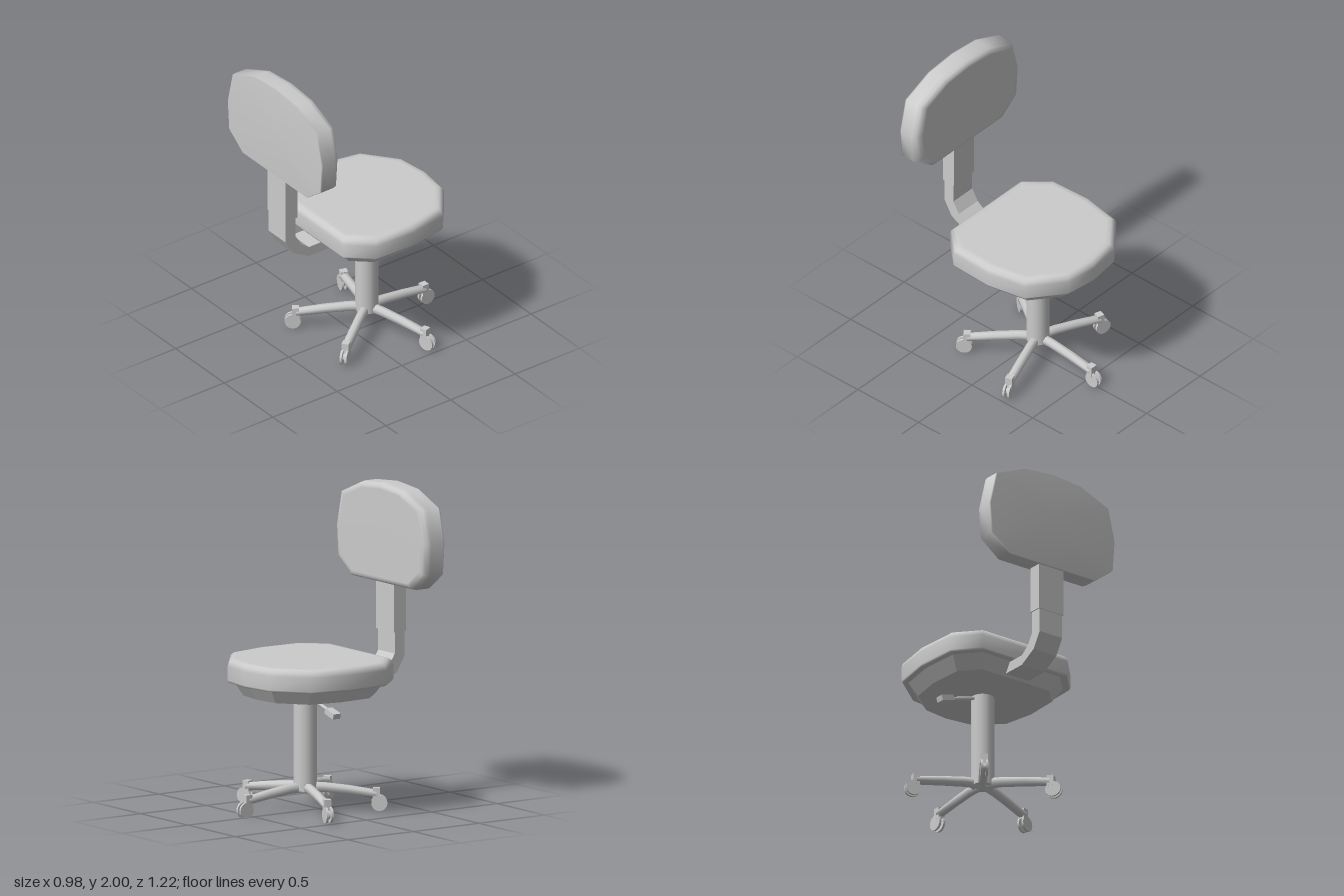
import * as THREE from 'three';

const smooth = new THREE.MeshStandardMaterial({ color: 0xcccccc });
const faceted = new THREE.MeshStandardMaterial({ color: 0xcccccc, flatShading: true });

function add(parent, name, geometry, material = smooth, x = 0, y = 0, z = 0) {
  const mesh = new THREE.Mesh(geometry, material);
  mesh.name = name;
  mesh.position.set(x, y, z);
  parent.add(mesh);
  return mesh;
}

// Skin a stack of equal rings (counter-clockwise about the direction of travel) and cap both ends
function loft(rings) {
  const n = rings[0].length;
  const pos = rings.flat(2);
  const index = [];
  for (let i = 0; i < rings.length - 1; i++) {
    for (let j = 0; j < n; j++) {
      const a = i * n + j, b = i * n + (j + 1) % n;
      index.push(a, b, b + n, a, b + n, a + n);
    }
  }
  const centre = (ring) => [0, 1, 2].map((k) => ring.reduce((s, p) => s + p[k], 0) / n);
  const last = (rings.length - 1) * n, c0 = rings.length * n;
  pos.push(...centre(rings[0]), ...centre(rings[rings.length - 1]));
  for (let j = 0; j < n; j++) {
    const k = (j + 1) % n;
    index.push(c0, k, j, c0 + 1, last + j, last + k);
  }
  const g = new THREE.BufferGeometry();
  g.setAttribute('position', new THREE.Float32BufferAttribute(pos, 3));
  g.setIndex(index);
  g.computeVertexNormals();
  return g;
}

// Closed outline from its +x half, listed bottom to top; the last point lies on the axis
function mirrorOutline(half) {
  return [...half, ...half.slice(0, -1).reverse().map(([x, y]) => [-x, y])];
}

// Outline scaled about (0, cy), stacked along z; levels are [scale, z]
function stack(outline, cy, levels) {
  return loft(levels.map(([s, z]) => outline.map(([x, y]) => [x * s, cy + (y - cy) * s, z])));
}

const cushionLevels = [[0.985, 0], [1, 0.012], [1, 0.1], [0.985, 0.127], [0.94, 0.143], [0.88, 0.145]];

export function createModel() {
  const chair = new THREE.Group();
  chair.name = 'swivelChair';
  const axisZ = -0.105;

  // Seat cushion and the tapered pan below it
  const seatOutline = mirrorOutline([
    [0.33, -0.33], [0.468, -0.178], [0.48, 0.11], [0.43, 0.37], [0.215, 0.542], [0, 0.57],
  ]);
  const seat = add(chair, 'seatCushion', stack(seatOutline, 0.12, cushionLevels), smooth, 0, 0.82, 0);
  seat.rotation.x = -Math.PI / 2;
  const pan = add(chair, 'seatPan', stack(seatOutline, 0.12, [[0.79, 0], [0.92, 0.09]]), faceted, 0, 0.735, 0);
  pan.rotation.x = -Math.PI / 2;

  // Backrest cushion, its padded side towards the seat
  const backOutline = mirrorOutline([
    [0.33, 1.37], [0.47, 1.475], [0.485, 1.675], [0.435, 1.89], [0.22, 1.98], [0, 2.0],
  ]);
  const back = add(chair, 'backrest', stack(backOutline, 1.68, [[0.992, 0], [1, 0.012], ...cushionLevels.slice(2)]), smooth, 0, 0, 0.61);
  back.rotation.y = Math.PI;

  // Bent bar from under the seat up to the backrest; profile in (z, y)
  const profile = [
    [0.2, 0.75], [0.41, 0.75], [0.53, 0.815], [0.59, 0.915], [0.59, 1.1],
    [0.515, 1.1], [0.515, 0.935], [0.47, 0.86], [0.41, 0.815], [0.2, 0.815],
  ];
  const barShape = new THREE.Shape(profile.map(([z, y]) => new THREE.Vector2(-z, y)));
  const barGeometry = new THREE.ExtrudeGeometry(barShape, { depth: 0.176, bevelEnabled: false });
  barGeometry.translate(0, 0, -0.088).rotateY(Math.PI / 2);
  add(chair, 'backBar', barGeometry, faceted);
  add(chair, 'backSleeve', new THREE.BoxGeometry(0.19, 0.38, 0.09), faceted, 0, 1.26, 0.55);

  // Column
  add(chair, 'column', new THREE.CylinderGeometry(0.072, 0.072, 0.61, 20), smooth, 0, 0.435, axisZ);

  // Height lever with a flat grip
  const lever = new THREE.Group();
  lever.name = 'heightLever';
  lever.position.set(-0.05, 0.722, axisZ);
  lever.rotation.z = 0.285;
  const rod = add(lever, 'leverRod', new THREE.CylinderGeometry(0.012, 0.012, 0.23, 8), smooth, -0.1, 0, 0);
  rod.rotation.z = Math.PI / 2;
  add(lever, 'leverGrip', new THREE.BoxGeometry(0.095, 0.035, 0.055), faceted, -0.25, 0, 0);
  chair.add(lever);

  // Five-legged base with twin-wheel casters
  const legStations = [[0, 0.15, 0.034], [0.12, 0.148, 0.032], [0.27, 0.132, 0.03], [0.44, 0.108, 0.026]];
  const legGeometry = loft(legStations.map(([z, y, h]) =>
    Array.from({ length: 8 }, (_, i) => {
      const a = ((i + 0.5) / 8) * Math.PI * 2;
      return [0.03 * Math.cos(a), y + h * Math.sin(a), z];
    })));
  const wheelGeometry = new THREE.CylinderGeometry(0.05, 0.05, 0.014, 18).rotateZ(Math.PI / 2);
  const axleGeometry = new THREE.CylinderGeometry(0.026, 0.026, 0.03, 12).rotateZ(Math.PI / 2);
  const housingGeometry = new THREE.BoxGeometry(0.046, 0.07, 0.044);
  for (let i = 0; i < 5; i++) {
    const arm = new THREE.Group();
    arm.name = 'baseLeg' + (i + 1);
    arm.position.z = axisZ;
    arm.rotation.y = Math.PI + (i * Math.PI * 2) / 5;
    add(arm, 'leg', legGeometry);
    add(arm, 'casterHousing', housingGeometry, faceted, 0, 0.11, 0.441);
    add(arm, 'casterAxle', axleGeometry, smooth, 0, 0.05, 0.459);
    for (const side of [-1, 1]) {
      add(arm, 'casterWheel', wheelGeometry, smooth, side * 0.0155, 0.05, 0.459);
    }
    chair.add(arm);
  }

  return chair;
}
